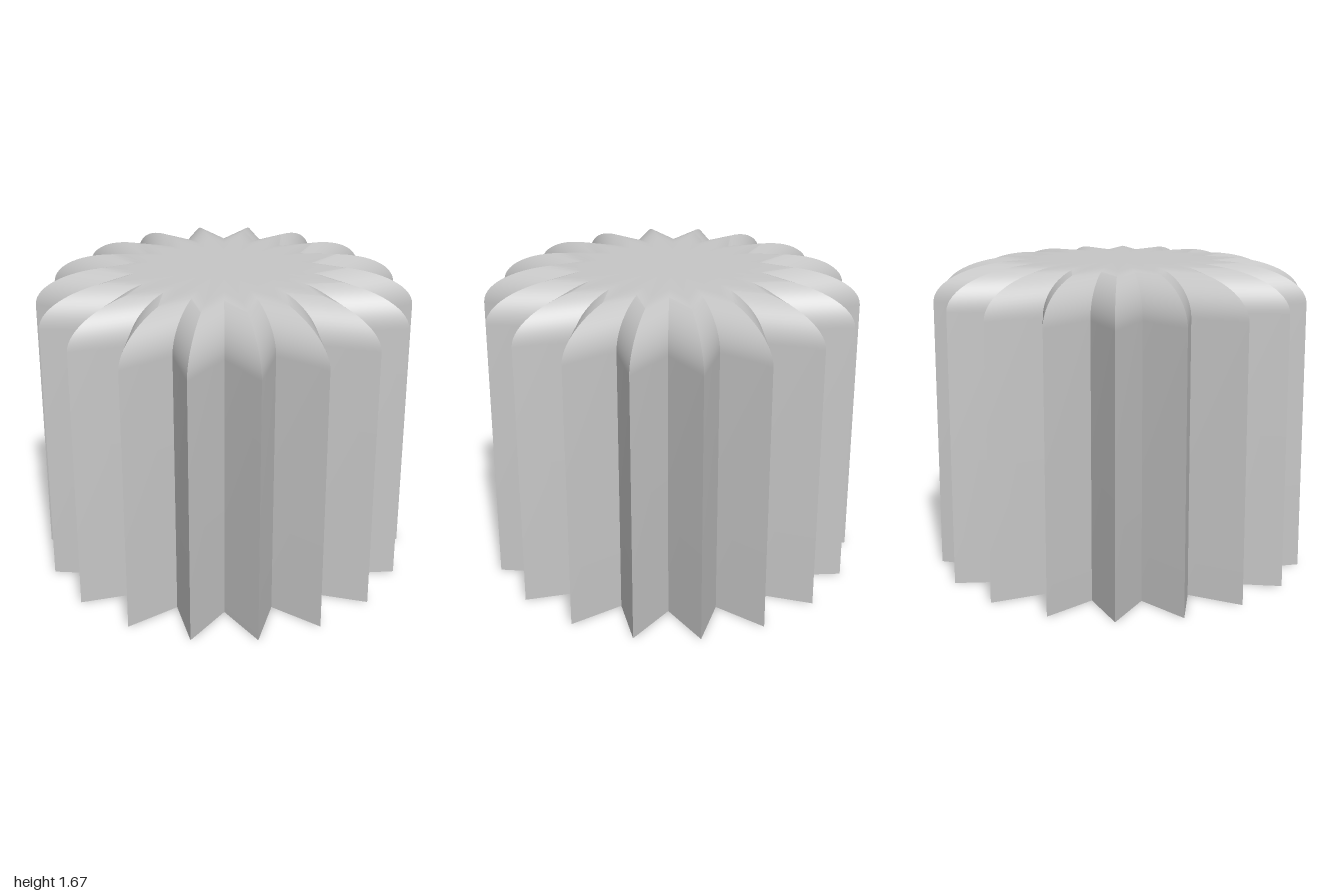
import * as THREE from 'three';
import { toCreasedNormals } from 'three/addons/utils/BufferGeometryUtils.js';

const TEETH = 18, TIP = 1.003, VALLEY = 0.735;
const SHOULDER = 1.46, HEIGHT = 1.675, FLAT = 0.5;
const BORE_R = 0.348, BORE_DEPTH = 1.2;

const polar = (r, deg) => {
  const a = THREE.MathUtils.degToRad(deg);
  return new THREE.Vector2(r * Math.cos(a), r * Math.sin(a));
};

// Lofts a closed outline through rings of [scale, y]; facing outwards for
// outlines that turn from +x towards +z, inwards for reversed ones.
function loft(outline, rings, cap) {
  const pos = [];
  const put = (p, [s, y]) => pos.push(p.x * s, y, p.y * s);
  const last = rings[rings.length - 1];
  outline.forEach((p, i) => {
    const q = outline[(i + 1) % outline.length];
    for (let j = 0; j < rings.length - 1; j++) {
      const lo = rings[j], hi = rings[j + 1];
      put(p, lo); put(p, hi); put(q, lo);
      put(q, lo); put(p, hi); put(q, hi);
    }
    if (cap) { put(p, [0, last[1]]); put(q, last); put(p, last); }
  });
  const geo = new THREE.BufferGeometry();
  geo.setAttribute('position', new THREE.Float32BufferAttribute(pos, 3));
  return toCreasedNormals(geo, 0.55);
}

// Flat plate facing down
function plate(outline, hole) {
  const shape = new THREE.Shape(outline);
  if (hole) shape.holes.push(new THREE.Path(hole));
  return new THREE.ShapeGeometry(shape).rotateX(Math.PI / 2);
}

export function createModel() {
  const group = new THREE.Group();
  const grey = new THREE.MeshStandardMaterial({ color: 0xc6c6c6 });
  grey.name = 'plain grey';
  const add = (name, geo, y = 0) => {
    const mesh = new THREE.Mesh(geo, grey);
    mesh.name = name;
    mesh.position.y = y;
    group.add(mesh);
  };

  // Star outline: sharp tips and valleys
  const star = [];
  for (let i = 0; i < TEETH; i++) {
    star.push(polar(TIP, 5 + i * 20), polar(VALLEY, 15 + i * 20));
  }

  // Straight sides, then an elliptical shoulder rolling into the flat top
  const rings = [[1, 0]];
  const steps = 16;
  for (let k = 0; k <= steps; k++) {
    const t = (k / steps) * Math.PI / 2;
    rings.push([
      FLAT + (1 - FLAT) * Math.cos(t),
      SHOULDER + (HEIGHT - SHOULDER) * Math.sin(t),
    ]);
  }
  add('flutedBody', loft(star, rings, true));

  // D-shaped shaft bore with its flat towards -x
  const bore = [];
  for (let i = 0; i <= 48; i++) bore.push(polar(BORE_R, -120 + i * 5));
  add('underside', plate(star, bore));
  add('shaftBoreWall', loft([...bore].reverse(), [[1, 0], [1, BORE_DEPTH]], false));
  add('shaftBoreEnd', plate(bore), BORE_DEPTH);

  return group;
}
